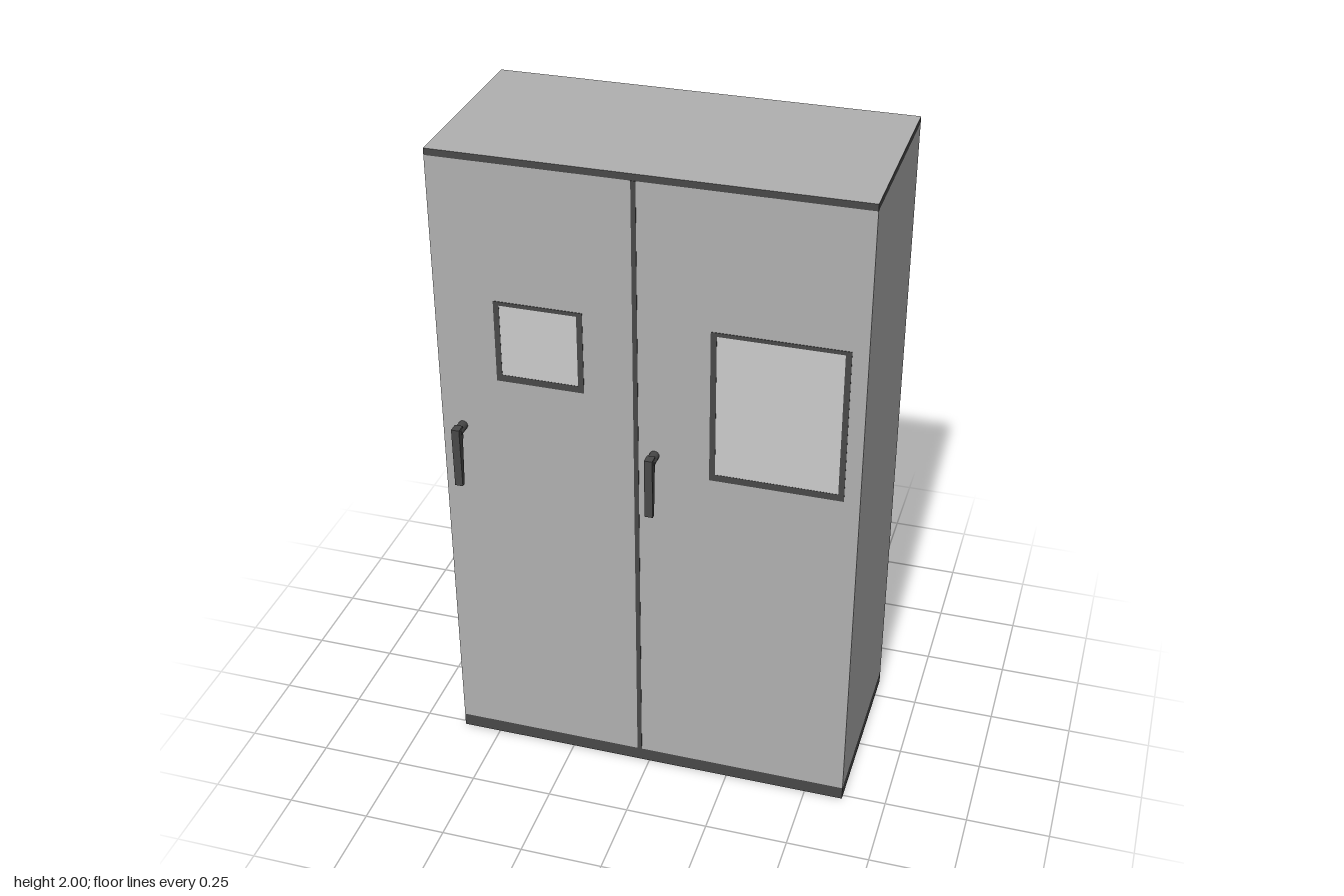
import * as THREE from 'three';

const W = 1.236, BACK = -0.325, FRONT = 0.265;
const DEPTH = FRONT - BACK, MID = (FRONT + BACK) / 2;
const PROUD = 0.0015;

const grey = (color) => new THREE.MeshStandardMaterial({ color });
const bodyMat = grey(0xb0b0b0), paneMat = grey(0xcccccc), darkMat = grey(0x484848);

function add(parent, name, geometry, material, x = 0, y = 0, z = 0) {
  const mesh = new THREE.Mesh(geometry, material);
  mesh.name = name;
  mesh.position.set(x, y, z);
  parent.add(mesh);
  return mesh;
}

// full-footprint slab between two heights
function slab(parent, name, y0, y1, material) {
  add(parent, name, new THREE.BoxGeometry(W, y1 - y0, DEPTH), material, 0, (y0 + y1) / 2, MID);
}

function rect(target, x0, y0, x1, y1) {
  target.moveTo(x0, y0).lineTo(x1, y0).lineTo(x1, y1).lineTo(x0, y1).closePath();
  return target;
}

// framed pane set flush in a door
function makeWindow(name, x0, y0, x1, y1) {
  const group = new THREE.Group();
  group.name = name;
  const side = 0.017, foot = 0.021, top = 0.012;
  const shape = rect(new THREE.Shape(), x0, y0, x1, y1);
  shape.holes.push(rect(new THREE.Path(), x0 + side, y0 + foot, x1 - side, y1 - top));
  add(group, 'windowFrame', new THREE.ExtrudeGeometry(shape, { depth: PROUD, bevelEnabled: false }),
    darkMat, 0, 0, FRONT);
  const pane = new THREE.PlaneGeometry(x1 - x0 - 2 * side, y1 - y0 - foot - top);
  add(group, 'windowPane', pane, paneMat, (x0 + x1) / 2, (y0 + foot + y1 - top) / 2, FRONT + PROUD / 2);
  return group;
}

// round stem with a tapered lever hanging from it
function makeHandle(name, x) {
  const group = new THREE.Group();
  group.name = name;
  const stem = new THREE.CylinderGeometry(0.0145, 0.0145, 0.045, 16).rotateX(Math.PI / 2);
  add(group, 'handleStem', stem, darkMat, 0, 1.143, FRONT + 0.0225);
  // side profile as (z, y), extruded across x
  const profile = new THREE.Shape([
    [0.325, 0.97], [0.327, 1.16], [0.297, 1.16], [0.297, 1.125], [0.302, 1.11], [0.311, 0.97],
  ].map(([z, y]) => new THREE.Vector2(z, y)));
  const width = 0.024;
  const lever = new THREE.ExtrudeGeometry(profile, { depth: width, bevelEnabled: false })
    .translate(0, 0, -width / 2).rotateY(-Math.PI / 2);
  add(group, 'handleLever', lever, darkMat);
  group.position.x = x;
  return group;
}

export function createModel() {
  const model = new THREE.Group();
  model.name = 'cabinet';

  // dark edge bands, with body-coloured top and underside
  const bandMats = [darkMat, darkMat, bodyMat, bodyMat, darkMat, darkMat];
  slab(model, 'plinth', 0, 0.042, bandMats);
  slab(model, 'cabinetBody', 0.042, 1.98, bodyMat);
  slab(model, 'topBand', 1.98, 2, bandMats);

  // gap between the two doors
  add(model, 'doorGap', new THREE.BoxGeometry(0.014, 1.938, PROUD), darkMat,
    -0.031, 1.011, FRONT + PROUD / 2);

  model.add(makeWindow('smallWindow', -0.442, 1.312, -0.182, 1.566));
  model.add(makeWindow('largeWindow', 0.184, 1.09, 0.572, 1.566));

  for (const [name, x] of [['rightDoorHandle', -0.556], ['leftDoorHandle', 0.023]]) {
    model.add(makeHandle(name, x));
  }
  return model;
}
